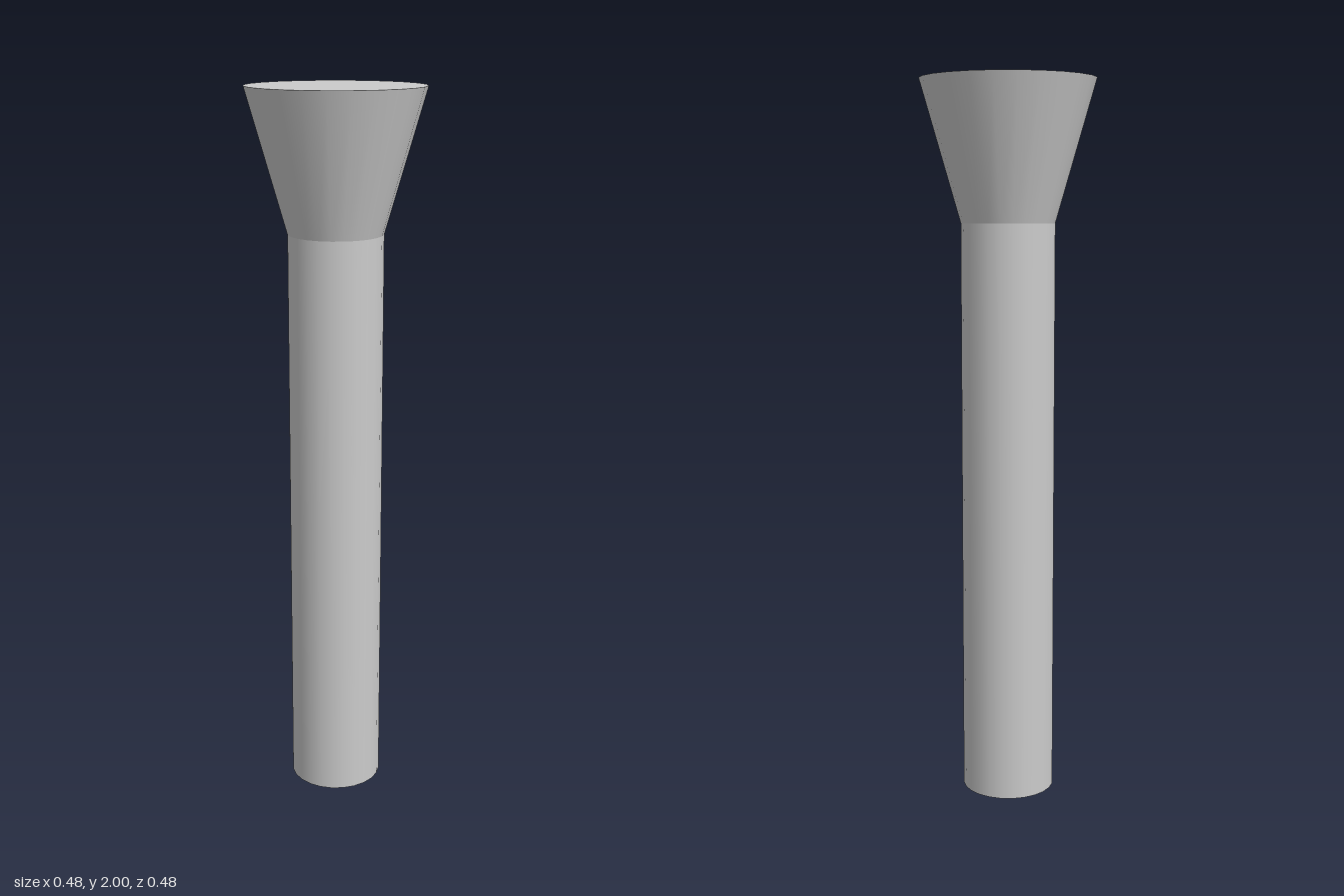
import * as THREE from 'three';

export function createModel() {
  const model = new THREE.Group();
  const material = new THREE.MeshStandardMaterial({ color: 0xcccccc });

  // Closed round section standing between two heights
  function addSection(name, topRadius, bottomRadius, y0, y1, sides) {
    const geometry = new THREE.CylinderGeometry(topRadius, bottomRadius, y1 - y0, sides);
    const mesh = new THREE.Mesh(geometry, material);
    mesh.name = name;
    mesh.position.y = (y0 + y1) / 2;
    model.add(mesh);
  }

  // Straight shaft, its top end tucked into the flared head
  addSection('shaft', 0.13, 0.13, 0, 1.64, 24);
  // Flared head, its narrow end sunk just inside the shaft
  addSection('flaredHead', 0.241, 0.127, 1.605, 2, 24);

  return model;
}
